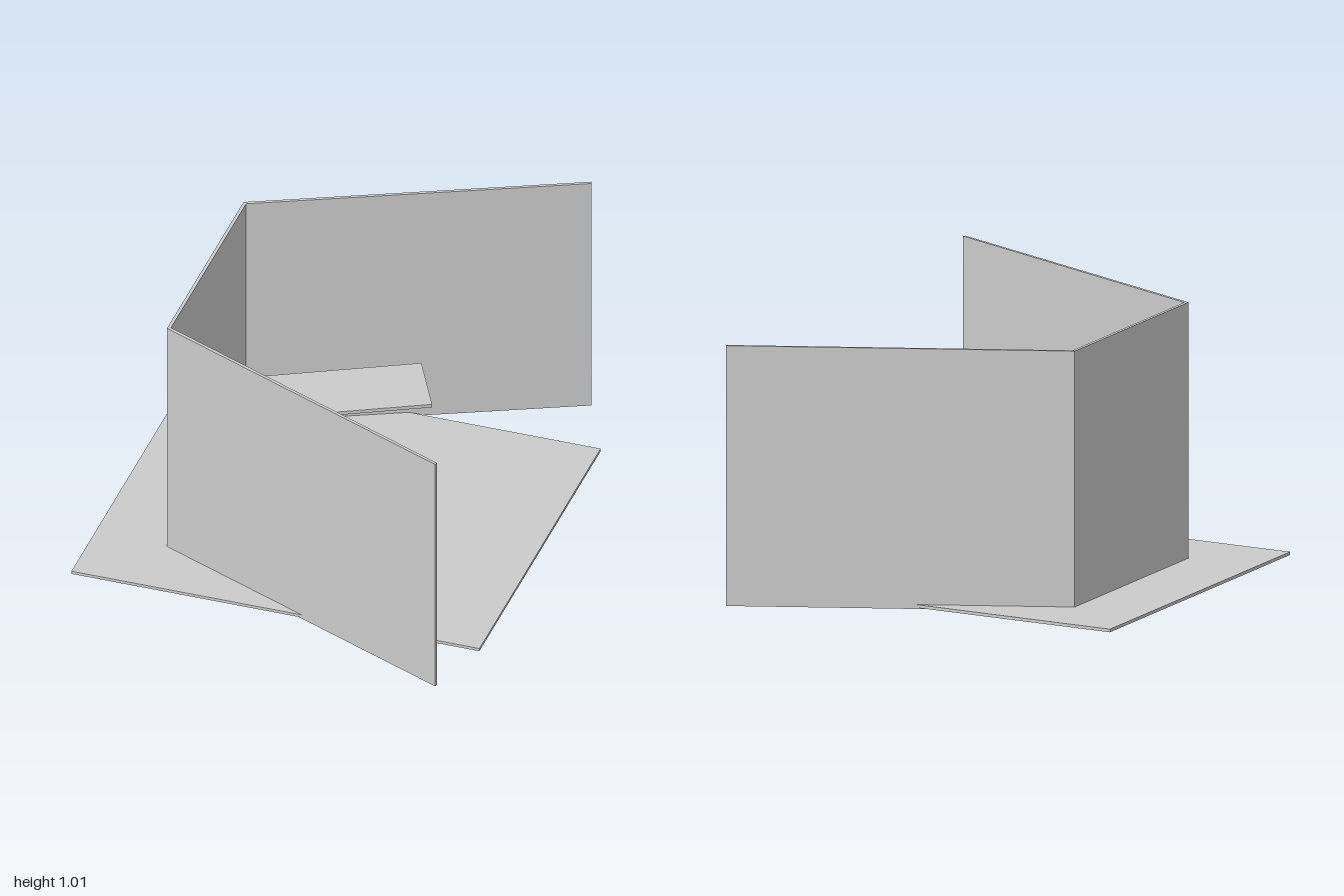
import * as THREE from 'three';

const material = new THREE.MeshStandardMaterial({ color: 0xcccccc, flatShading: true });

// Flat slab with a plan outline of [x, z] corners between two heights
function slab(name, outline, bottom, top) {
  const shape = new THREE.Shape(outline.map(([x, z]) => new THREE.Vector2(x, -z)));
  const geometry = new THREE.ExtrudeGeometry(shape, { depth: top - bottom, bevelEnabled: false });
  geometry.rotateX(-Math.PI / 2);
  geometry.translate(0, bottom, 0);
  const mesh = new THREE.Mesh(geometry, material);
  mesh.name = name;
  return mesh;
}

// Box given by its minimum and maximum corners
function box(name, min, max) {
  const size = max.map((v, i) => v - min[i]);
  const mesh = new THREE.Mesh(new THREE.BoxGeometry(...size), material);
  mesh.position.set(...max.map((v, i) => (v + min[i]) / 2));
  mesh.name = name;
  return mesh;
}

export function createModel() {
  const group = new THREE.Group();
  group.name = 'deskBooth';

  // Thin floor panel
  group.add(box('floor', [-0.813, 0.005, -0.7], [0.813, 0.017, 0.725]));

  // Three-sided screen, opening towards +x
  group.add(slab('screenWalls', [
    [0.674, -1.0], [-0.525, -0.449], [-0.525, 0.451], [0.728, 0.996],
    [0.733, 0.985], [-0.512, 0.442], [-0.512, -0.441], [0.679, -0.989],
  ], 0, 1.01));

  // Angled desk top following the screen, tipped very slightly
  const desk = slab('deskTop', [
    [-0.475, -0.394], [0.102, -0.69], [0.23, -0.438], [-0.17, -0.233],
    [-0.17, 0.221], [0.23, 0.425], [0.103, 0.676], [-0.473, 0.383],
  ], -0.007, 0.007);
  desk.position.y = 0.254;
  desk.rotation.x = -0.003;
  group.add(desk);

  // Small cube seat
  group.add(box('seat', [-0.074, 0.028, -0.06], [0.069, 0.168, 0.08]));

  return group;
}
